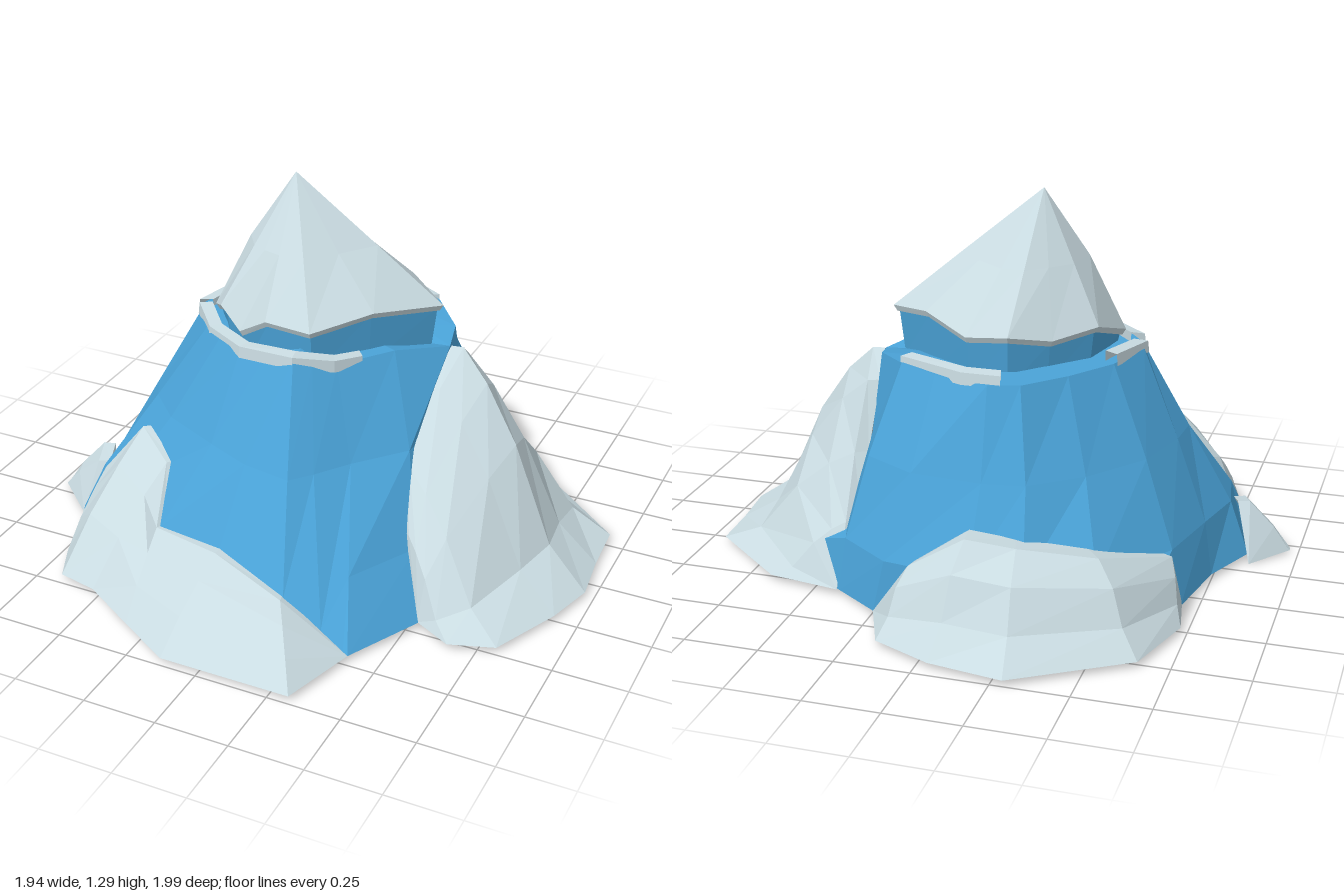
import * as THREE from 'three';

const rock = new THREE.MeshStandardMaterial({ name: 'blue rock', color: 0x4aa3d8, flatShading: true, side: THREE.DoubleSide });
const snow = new THREE.MeshStandardMaterial({ name: 'pale snow', color: 0xc9dbe1, flatShading: true, side: THREE.DoubleSide });

// Skin between rows of points; rows run bottom to top, columns anticlockwise from above
function loft(name, rows, material, closed) {
  const pos = [];
  const tri = (a, b, c) => {
    const n = b.clone().sub(a).cross(c.clone().sub(a));
    if (n.length() > 1e-7) for (const p of [a, b, c]) pos.push(p.x, p.y, p.z);
  };
  const cols = rows[0].length;
  for (let r = 0; r < rows.length - 1; r++) {
    for (let i = 0; i < (closed ? cols : cols - 1); i++) {
      const j = (i + 1) % cols;
      const a = rows[r][i], b = rows[r][j], c = rows[r + 1][j], d = rows[r + 1][i];
      tri(a, b, c);
      tri(a, c, d);
    }
  }
  const geometry = new THREE.BufferGeometry();
  geometry.setAttribute('position', new THREE.Float32BufferAttribute(pos, 3));
  geometry.computeVertexNormals();
  const mesh = new THREE.Mesh(geometry, material);
  mesh.name = name;
  return mesh;
}

const points = (list) => list.map(([x, y, z]) => new THREE.Vector3(x, y, z));
const level = (y, list) => list.map(([x, z, h = y]) => new THREE.Vector3(x, h, z));
// Pull a row towards the mountain axis and shift its height
const inset = (row, s, dy = 0) => row.map((p) =>
  new THREE.Vector3(-0.03 + (p.x + 0.03) * s, p.y + dy, -0.06 + (p.z + 0.06) * s));

// Snow drift from a ground edge up to an edge on the rock, with a lip turned inwards
// between its two ends; bends are [fraction down the slope, bulge relative to height]
function drift(name, ground, crest, lipScale, bends) {
  const low = points(ground), high = points(crest);
  const mids = bends.map(([t, bulge]) => high.map((p, i) => {
    const q = p.clone().lerp(low[i], t);
    q.y += bulge * (p.y - low[i].y);
    return q;
  }));
  const last = high.length - 1;
  const lip = inset(high, lipScale).map((p, i) => (i === 0 || i === last ? high[i] : p));
  return loft(name, [low, ...mids.reverse(), high, lip], snow, false);
}

// Thin snow band lying on the shoulder
function band(name, path) {
  const outer = points(path);
  const top = inset(outer, 0.99, 0.04), inner = inset(outer, 0.89, 0.045);
  return loft(name, [inset(outer, 0.89), outer, top, inner, inset(outer, 0.89)], snow, false);
}

export function createModel() {
  const model = new THREE.Group();
  model.name = 'mountain';

  // Rock body, open underneath and spreading out below the drifts
  const base = level(0.02, [
    [0.30, 0.93], [0.385, 0.735], [0.40, 0.73], [0.54, 0.46], [0.91, 0.10], [0.84, -0.28], [0.40, -0.57],
    [0.24, -0.68], [0.0, -0.90], [-0.29, -0.94], [-0.60, -0.74], [-0.70, -0.36], [-0.75, -0.10],
    [-0.84, 0.10], [-0.82, 0.33], [-0.67, 0.62], [-0.42, 0.76], [-0.12, 0.93]]);
  const foot = level(0.2, [
    [0.17, 0.72, 0.165], [0.30, 0.715, 0.08], [0.33, 0.57], [0.46, 0.33], [0.53, 0.05], [0.47, -0.28], [0.38, -0.55],
    [0.20, -0.68], [-0.09, -0.72], [-0.27, -0.71], [-0.48, -0.61], [-0.66, -0.33], [-0.72, -0.08],
    [-0.77, 0.12], [-0.74, 0.30], [-0.62, 0.42], [-0.36, 0.57], [-0.10, 0.66]]);
  const middle = level(0.47, [
    [0.09, 0.52], [0.15, 0.45], [0.23, 0.34], [0.37, 0.18], [0.39, 0.0], [0.385, -0.27], [0.32, -0.48],
    [0.14, -0.58], [-0.10, -0.60], [-0.24, -0.58], [-0.40, -0.45], [-0.55, -0.25], [-0.61, -0.04],
    [-0.62, 0.10], [-0.57, 0.20], [-0.45, 0.32], [-0.24, 0.42], [-0.08, 0.49]]);
  const shoulder = level(0.76, [
    [0.02, 0.33, 0.80], [0.07, 0.29, 0.78], [0.13, 0.23], [0.26, 0.06], [0.385, -0.12, 0.72], [0.36, -0.23, 0.74],
    [0.24, -0.37], [0.10, -0.45], [-0.09, -0.50], [-0.19, -0.47], [-0.31, -0.34], [-0.42, -0.18], [-0.48, 0.0],
    [-0.46, 0.07], [-0.38, 0.18], [-0.30, 0.24], [-0.20, 0.28], [-0.10, 0.30]]);
  model.add(loft('rockBody', [base, foot, middle, shoulder, inset(shoulder, 0.7)], rock, true));

  // Snow cap with a jagged rim
  const rim = points([
    [0.20, 0.90, -0.24], [0.02, 0.87, -0.38], [-0.12, 0.88, -0.38], [-0.24, 0.85, -0.28], [-0.36, 0.87, -0.15],
    [-0.40, 0.80, 0.07], [-0.31, 0.87, 0.20], [-0.22, 0.81, 0.24], [-0.11, 0.88, 0.27], [0.05, 0.87, 0.27],
    [0.20, 0.90, 0.10], [0.36, 0.87, -0.11]]);
  const apex = new THREE.Vector3(-0.14, 1.29, -0.03);
  const waist = rim.map((p) => {
    const q = p.clone().lerp(apex, 0.48);
    return new THREE.Vector3(apex.x + (q.x - apex.x) * 1.06, 1.06, apex.z + (q.z - apex.z) * 1.06);
  });
  model.add(loft('snowCap', [inset(rim, 0.9, -0.01), inset(rim, 0.97, -0.02), rim, waist, rim.map(() => apex)], snow, true));

  // Rock neck between the shoulder and the cap
  const neckTop = inset(rim, 0.95, -0.01);
  const neckFoot = inset(rim, 0.9).map((p) => p.setY(0.7));
  model.add(loft('rockNeck', [neckFoot, neckTop], rock, true));

  // Large drift on the left flank
  model.add(drift('leftDrift',
    [[0.53, 0.02, 0.47], [0.66, 0.02, 0.54], [0.81, 0.02, 0.49], [0.92, 0.02, 0.25], [0.97, 0.02, 0.08],
      [0.95, 0.02, -0.10], [0.94, 0.02, -0.29], [0.66, 0.02, -0.53], [0.41, 0.02, -0.57]],
    [[0.53, 0.02, 0.47], [0.44, 0.25, 0.34], [0.38, 0.42, 0.20], [0.40, 0.62, 0.0], [0.43, 0.72, -0.13],
      [0.41, 0.64, -0.24], [0.42, 0.42, -0.35], [0.41, 0.22, -0.47], [0.41, 0.02, -0.57]],
    0.91, [[0.19, 0.055], [0.43, 0.04], [0.72, -0.12]]));

  // Front drift with a raised lump at one end
  model.add(drift('frontDrift',
    [[-0.76, 0.02, 0.43], [-0.72, 0.02, 0.60], [-0.66, 0.02, 0.73], [-0.52, 0.02, 0.76], [-0.32, 0.02, 0.88],
      [-0.13, 0.02, 0.99], [0.32, 0.02, 0.99], [0.40, 0.02, 0.73]],
    [[-0.76, 0.02, 0.43], [-0.68, 0.25, 0.39], [-0.55, 0.42, 0.34], [-0.41, 0.36, 0.43], [-0.37, 0.20, 0.58],
      [-0.10, 0.23, 0.67], [0.17, 0.17, 0.74], [0.40, 0.02, 0.73]],
    0.96, [[0.3, 0.06], [0.65, 0.08]]));

  // Back drift
  model.add(drift('backDrift',
    [[0.24, 0.02, -0.68], [0.16, 0.02, -0.87], [-0.04, 0.02, -0.96], [-0.29, 0.02, -1.0], [-0.65, 0.02, -0.77],
      [-0.73, 0.02, -0.51], [-0.70, 0.02, -0.34]],
    [[0.24, 0.02, -0.68], [0.10, 0.22, -0.73], [-0.09, 0.34, -0.74], [-0.25, 0.32, -0.72], [-0.49, 0.28, -0.63],
      [-0.67, 0.20, -0.38], [-0.70, 0.02, -0.34]],
    0.89, [[0.37, 0.1], [0.62, -0.08]]));

  // Small drift on the right flank
  model.add(drift('rightDrift',
    [[-0.85, 0, 0.06], [-0.97, 0.01, 0.19], [-0.97, 0.01, 0.21], [-0.82, 0, 0.34]],
    [[-0.85, 0, 0.06], [-0.83, 0.19, 0.16], [-0.80, 0.17, 0.25], [-0.82, 0, 0.34]],
    0.95, [[0.6, 0.08]]));

  // Bands of snow on the shoulder
  model.add(band('frontBand', [
    [-0.47, 0.75, 0.07], [-0.36, 0.74, 0.20], [-0.20, 0.74, 0.29], [0.02, 0.77, 0.34], [0.13, 0.74, 0.25],
    [0.19, 0.73, 0.16]]));
  model.add(band('rightBand', [[-0.43, 0.75, -0.17], [-0.49, 0.74, 0.03]]));
  model.add(band('backBand', [[0.25, 0.74, -0.36], [0.0, 0.75, -0.49], [-0.13, 0.75, -0.49]]));

  return model;
}
